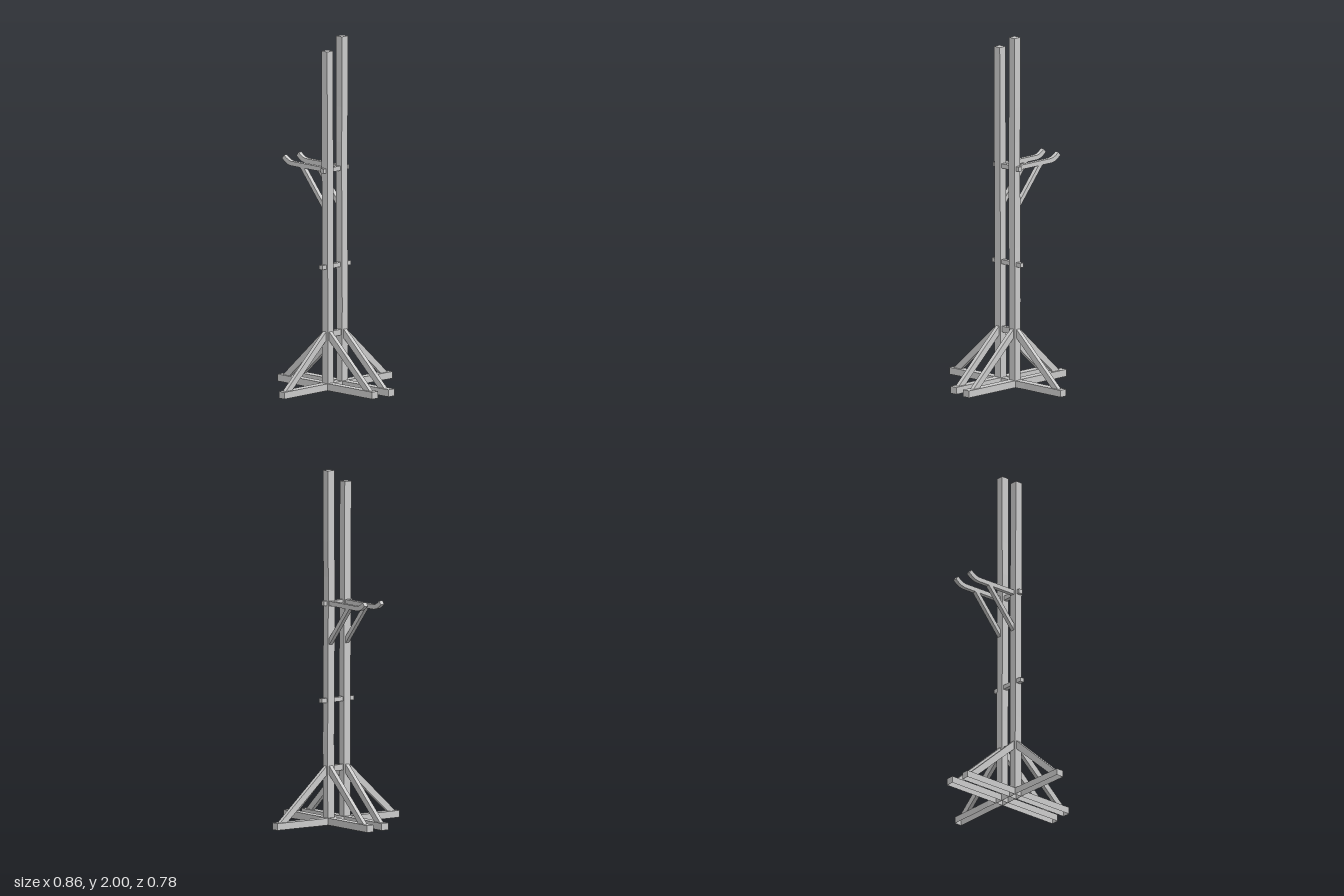
import * as THREE from 'three';

const material = new THREE.MeshStandardMaterial({ color: 0xcccccc, flatShading: true, side: THREE.DoubleSide });
const LEFT = 0.054, RIGHT = -0.06; // x of the two uprights

function add(parent, name, geometry) {
  const mesh = new THREE.Mesh(geometry, material);
  mesh.name = name;
  parent.add(mesh);
  return mesh;
}

// Box given by its min and max corners, optionally without its underside
function box(min, max, segments = [1, 1, 1], open = false) {
  const size = max.map((v, i) => v - min[i]);
  const g = new THREE.BoxGeometry(...size, ...segments);
  g.translate(...max.map((v, i) => (v + min[i]) / 2));
  if (open) {
    const { start, count } = g.groups[3];
    const index = Array.from(g.index.array);
    index.splice(start, count);
    g.setIndex(index);
    g.clearGroups();
  }
  return g;
}

// Shift one axis of a geometry by a piecewise linear function of another
function bend(g, along, moved, keys) {
  const p = g.attributes.position;
  for (let i = 0; i < p.count; i++) {
    const t = p.getComponent(i, along);
    let k = 0;
    while (k < keys.length - 2 && t > keys[k + 1][0]) k++;
    const [a, va] = keys[k], [b, vb] = keys[k + 1];
    const f = THREE.MathUtils.clamp((t - a) / (b - a), 0, 1);
    p.setComponent(i, moved, p.getComponent(i, moved) + va + (vb - va) * f);
  }
  g.computeVertexNormals();
  return g;
}

// Flat timber cut from a side outline, centred on its own plane
function plank(points, width = 0.024) {
  const shape = new THREE.Shape(points.map(([a, b]) => new THREE.Vector2(a, b)));
  const g = new THREE.ExtrudeGeometry(shape, { depth: width, bevelEnabled: false });
  return g.translate(0, 0, -width / 2);
}

export function createModel() {
  const model = new THREE.Group();
  model.name = 'timberStand';

  // Slightly crooked uprights
  const post = (top, keys) =>
    bend(box([-0.023, 0, -0.023], [0.023, top, 0.023], [1, 20, 1], true), 1, 0, keys);
  add(model, 'leftPost', post(2, [[0, 0.053], [0.5, 0.054], [0.8, 0.051], [1.4, 0.049], [1.6, 0.052], [2, 0.052]]));
  add(model, 'rightPost', post(1.93, [[0, -0.059], [0.5, -0.06], [1.2, -0.062], [1.93, -0.0655]]));

  // Feet: two running front to back, one crooked sill running across
  add(model, 'leftFoot', box([LEFT - 0.023, 0, -0.39], [LEFT + 0.023, 0.04, 0.39], [1, 1, 1], true));
  add(model, 'rightFoot', box([RIGHT - 0.023, 0, -0.375], [RIGHT + 0.023, 0.04, 0.375], [1, 1, 1], true));
  add(model, 'crossFoot', bend(box([-0.43, 0, -0.023], [0.43, 0.039, 0.023], [18, 1, 1], true), 0, 2,
    [[-0.43, 0.007], [-0.1, -0.002], [0.08, -0.002], [0.15, -0.006], [0.25, -0.003], [0.43, -0.003]]));

  // Rungs joining the uprights
  add(model, 'lowerRung', box([RIGHT, 0.3, -0.013], [LEFT, 0.333, 0.012]));
  add(model, 'middleRung', box([-0.115, 0.69, -0.013], [0.11, 0.715, 0.012]));
  add(model, 'upperRung', box([-0.105, 1.238, -0.013], [0.095, 1.264, 0.012]));

  // Diagonal braces, front and back of each upright and at both sides
  const brace = (foot, post) =>
    plank([[foot, 0.038], [foot - 0.052, 0.038], [post, 0.285], [post, 0.336]]);
  for (const [side, x] of [['left', LEFT], ['right', RIGHT]]) {
    add(model, side + 'FrontBrace', brace(0.347, 0.02).rotateY(-Math.PI / 2)).position.x = x;
    add(model, side + 'BackBrace', brace(0.347, 0.02).rotateY(Math.PI / 2)).position.x = x;
  }
  add(model, 'leftSideBrace', brace(0.402, 0.072)).position.z = -0.002;
  add(model, 'rightSideBrace', bend(brace(0.408, 0.08).rotateY(Math.PI), 0, 2, [[-0.41, 0.005], [-0.08, -0.003]]));

  // Rear hooks: an arm with an upturned tip, held by a strut
  const arm = [
    [-0.01, 1.238], [0.285, 1.238], [0.31, 1.244], [0.332, 1.255], [0.352, 1.272],
    [0.336, 1.292], [0.316, 1.277], [0.298, 1.268], [0.278, 1.264], [-0.01, 1.264],
  ];
  const strut = [[0.02, 1.015], [0.21, 1.24], [0.178, 1.24], [0.02, 1.053]];
  for (const [side, x] of [['left', LEFT], ['right', RIGHT]]) {
    const hook = new THREE.Group();
    hook.name = side + 'Hook';
    hook.position.x = x;
    add(hook, 'arm', plank(arm).rotateY(Math.PI / 2));
    add(hook, 'strut', plank(strut).rotateY(Math.PI / 2));
    model.add(hook);
  }
  return model;
}
